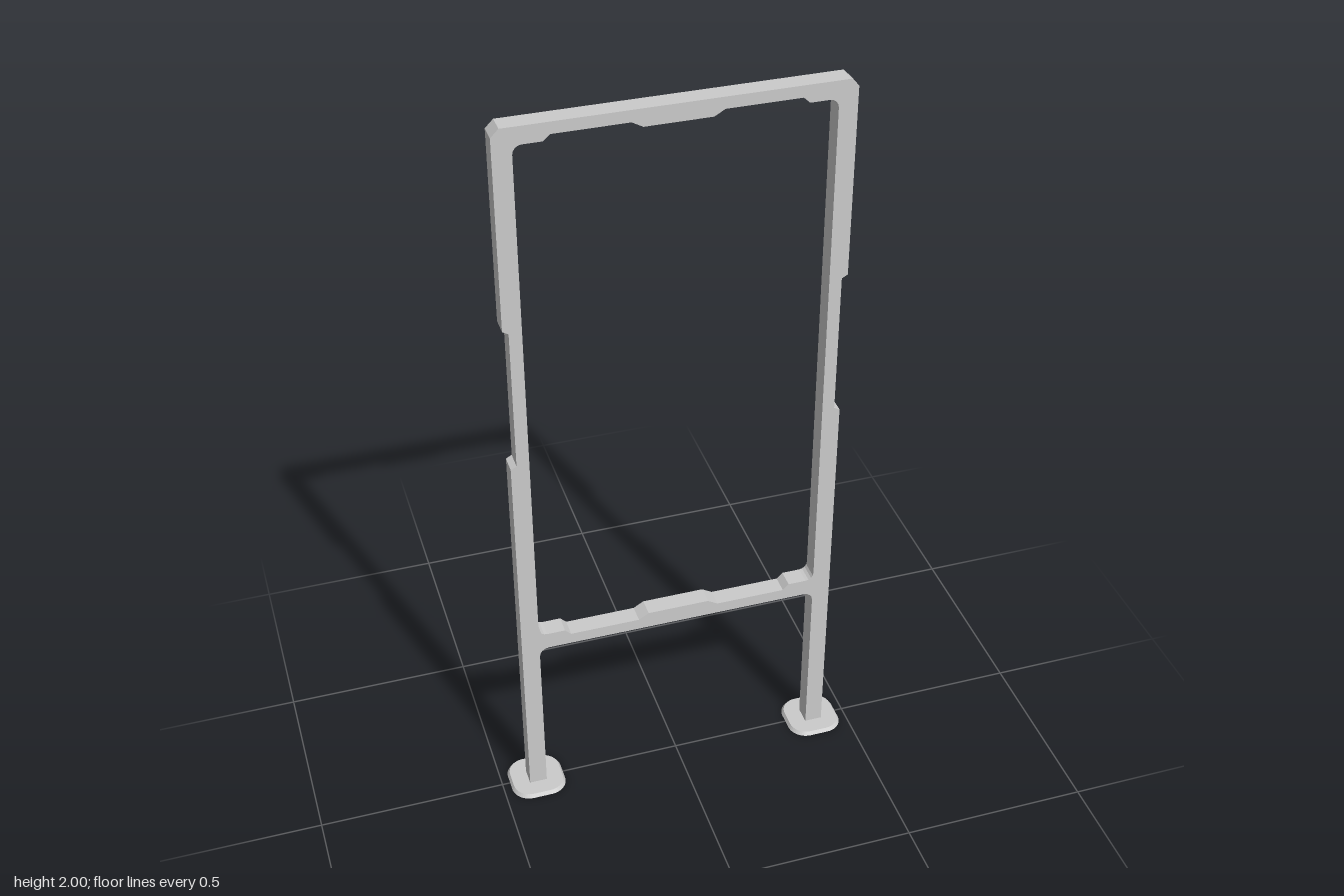
import * as THREE from 'three';

const DEPTH = 0.05;      // frame thickness along z
const OUT = 0.427;       // outer face of the posts
const IN = 0.38;         // inner face of the posts
const POST_X = (OUT + IN) / 2;

const material = new THREE.MeshStandardMaterial({ color: 0xcccccc, flatShading: true });

// Mirror a right-half outline (listed towards x = 0 or away from it) into a full closed one
function mirrored(half) {
  const left = half.map(([x, y]) => [-x, y]).reverse();
  return [...half, ...left].map(([x, y]) => new THREE.Vector2(x, y));
}

// Points of a quarter-circle fillet
function fillet(cx, cy, r, from, to, steps = 4) {
  return Array.from({ length: steps + 1 }, (_, i) => {
    const a = from + (to - from) * i / steps;
    return [cx + r * Math.cos(a), cy + r * Math.sin(a)];
  });
}

// Posts, top rail and lower rail as one flat plate with a window
function createFrame() {
  const H = Math.PI / 2;
  const outer = mirrored([
    ...fillet(IN - 0.025, 0.465, 0.025, H, 0),     // under the lower rail
    [IN, 0.005], [OUT, 0.005],
    [OUT, 1.086], [0.412, 1.094],                  // grip notch in the outer face
    [0.412, 1.475], [OUT, 1.484],
    [OUT, 1.98], [0.407, 2],                       // chamfered top corner
  ]);
  const raised = 0.082, low = 0.109, lowEnd = 0.294, end = 0.31;
  const inner = mirrored([
    [raised, 0.537], [low, 0.521], [lowEnd, 0.521], [end, 0.537],
    ...fillet(IN - 0.022, 0.559, 0.022, -H, 0),
    ...fillet(IN - 0.022, 1.933, 0.022, 0, H),
    [end, 1.955], [lowEnd, 1.97], [low, 1.97], [raised, 1.955],
  ]);
  const shape = new THREE.Shape(outer);
  shape.holes.push(new THREE.Path(inner));
  const geo = new THREE.ExtrudeGeometry(shape, { depth: DEPTH, bevelEnabled: false });
  geo.translate(0, 0, -DEPTH / 2);

  // Leave the tube ends open at the bottom
  const p = geo.attributes.position, kept = [];
  for (let i = 0; i < p.count; i += 3) {
    if ([0, 1, 2].every(k => p.getY(i + k) < 0.006)) continue;
    for (let k = 0; k < 3; k++) kept.push(p.getX(i + k), p.getY(i + k), p.getZ(i + k));
  }
  const open = new THREE.BufferGeometry();
  open.setAttribute('position', new THREE.Float32BufferAttribute(kept, 3));
  open.computeVertexNormals();
  const mesh = new THREE.Mesh(open, material);
  mesh.name = 'frame';
  return mesh;
}

// Rounded-square floor plate with a sloped rim and a hole below the post
function createFoot(side) {
  const s = 0.075, r = 0.05, h = 0.024;
  const shape = new THREE.Shape();
  shape.absarc(s - r, s - r, r, 0, Math.PI / 2);
  shape.absarc(r - s, s - r, r, Math.PI / 2, Math.PI);
  shape.absarc(r - s, r - s, r, Math.PI, Math.PI * 1.5);
  shape.absarc(s - r, r - s, r, Math.PI * 1.5, Math.PI * 2);
  shape.holes.push(new THREE.Path([[-h, -h], [-h, h], [h, h], [h, -h]].map(c => new THREE.Vector2(...c))));
  const geo = new THREE.ExtrudeGeometry(shape, { depth: 0.01, bevelEnabled: false, curveSegments: 6 });
  geo.rotateX(-Math.PI / 2);
  const p = geo.attributes.position;
  for (let i = 0; i < p.count; i++) {
    const x = p.getX(i), z = p.getZ(i);
    if (p.getY(i) > 0.005 && Math.hypot(x, z) > 0.05) p.setXYZ(i, x * 0.92, p.getY(i), z * 0.92);
  }
  geo.computeVertexNormals();
  const mesh = new THREE.Mesh(geo, material);
  mesh.name = side > 0 ? 'leftFoot' : 'rightFoot';
  mesh.position.x = side * POST_X;
  return mesh;
}

export function createModel() {
  const group = new THREE.Group();
  group.name = 'standFrame';
  group.add(createFrame(), createFoot(1), createFoot(-1));
  return group;
}
